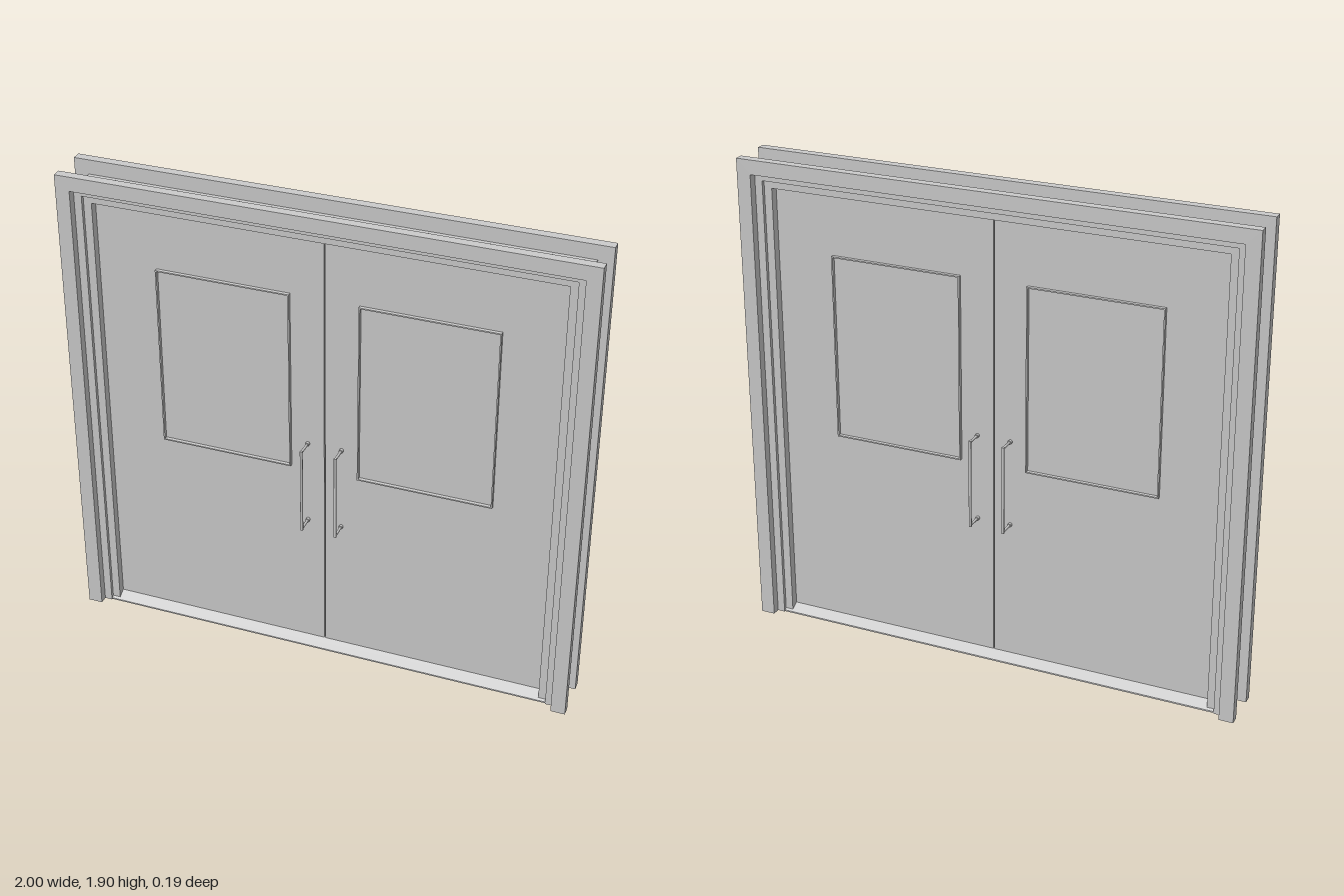
import * as THREE from 'three';

const grey = new THREE.MeshStandardMaterial({ color: 0xcccccc, side: THREE.DoubleSide });

function add(parent, name, geometry, x = 0, y = 0, z = 0) {
  const mesh = new THREE.Mesh(geometry, grey);
  mesh.name = name;
  mesh.position.set(x, y, z);
  parent.add(mesh);
  return mesh;
}

// Upside-down U in the x-y plane, standing on the floor, extruded from z0 to z1
function portal(outerX, outerTop, innerX, innerTop, z0, z1) {
  const shape = new THREE.Shape([
    [-outerX, 0], [-innerX, 0], [-innerX, innerTop], [innerX, innerTop],
    [innerX, 0], [outerX, 0], [outerX, outerTop], [-outerX, outerTop],
  ].map(([x, y]) => new THREE.Vector2(x, y)));
  const g = new THREE.ExtrudeGeometry(shape, { depth: z1 - z0, bevelEnabled: false });
  return g.translate(0, 0, z0);
}

// Thin rectangular rim, centred on the origin
function rim(w, h, t, depth) {
  const rect = (a, b) => [[-a, -b], [a, -b], [a, b], [-a, b]].map(([x, y]) => new THREE.Vector2(x, y));
  const shape = new THREE.Shape(rect(w / 2, h / 2));
  shape.holes.push(new THREE.Path(rect(w / 2 - t, h / 2 - t)));
  return new THREE.ExtrudeGeometry(shape, { depth, bevelEnabled: false });
}

// Vertical pull bar on two posts with small rosettes; z = 0 is the door face
function pullHandle() {
  const handle = new THREE.Group();
  handle.name = 'pullHandle';
  const bottom = 0.58, top = 0.935, reach = 0.068, r = 0.0055;
  add(handle, 'gripBar', new THREE.CylinderGeometry(r, r, top - bottom, 16), 0, (top + bottom) / 2, reach);
  for (const y of [bottom + r, top - r]) {
    add(handle, 'post', new THREE.CylinderGeometry(r * 0.9, r * 0.9, reach, 16).rotateX(Math.PI / 2), 0, y, reach / 2);
    add(handle, 'rosette', new THREE.CylinderGeometry(0.008, 0.008, 0.012, 16).rotateX(Math.PI / 2), 0, y, 0.006);
  }
  return handle;
}

export function createModel() {
  const model = new THREE.Group();
  model.name = 'doubleDoor';
  const face = 0.018;

  // Stepped frame, same on front and back
  for (const [name, turn] of [['frontFrame', 0], ['backFrame', Math.PI]]) {
    const frame = new THREE.Group();
    frame.name = name;
    frame.rotation.y = turn;
    add(frame, 'casing', portal(1, 1.9, 0.944, 1.844, 0.06, 0.096));
    add(frame, 'jamb', portal(0.944, 1.844, 0.914, 1.816, 0.046, 0.064));
    add(frame, 'doorStop', portal(0.914, 1.816, 0.883, 1.787, 0.017, 0.05));
    model.add(frame);
  }

  // Threshold with sloping sides
  const sill = new THREE.Shape([[-0.06, 0], [0.06, 0], [0.06, 0.006], [0.02, 0.028], [-0.02, 0.028], [-0.06, 0.006]]
    .map(([x, y]) => new THREE.Vector2(x, y)));
  const sillGeometry = new THREE.ExtrudeGeometry(sill, { depth: 1.828, bevelEnabled: false });
  add(model, 'threshold', sillGeometry.translate(0, 0, -0.914).rotateY(Math.PI / 2));

  // Two leaves with window rims and handles on both faces
  for (const side of [-1, 1]) {
    const leaf = new THREE.Group();
    leaf.name = side > 0 ? 'leftDoor' : 'rightDoor';
    add(leaf, 'doorPanel', new THREE.BoxGeometry(0.881, 1.759, face * 2), side * 0.4425, 0.9075, 0);
    for (const dir of [1, -1]) {
      const fittings = new THREE.Group();
      fittings.name = dir > 0 ? 'frontFittings' : 'backFittings';
      fittings.rotation.y = dir > 0 ? 0 : Math.PI;
      add(fittings, 'windowRim', rim(0.522, 0.73, 0.005, 0.014), side * dir * 0.393, 1.185, face);
      const handle = pullHandle();
      handle.position.set(side * dir * 0.067, 0, face);
      fittings.add(handle);
      leaf.add(fittings);
    }
    model.add(leaf);
  }
  return model;
}
